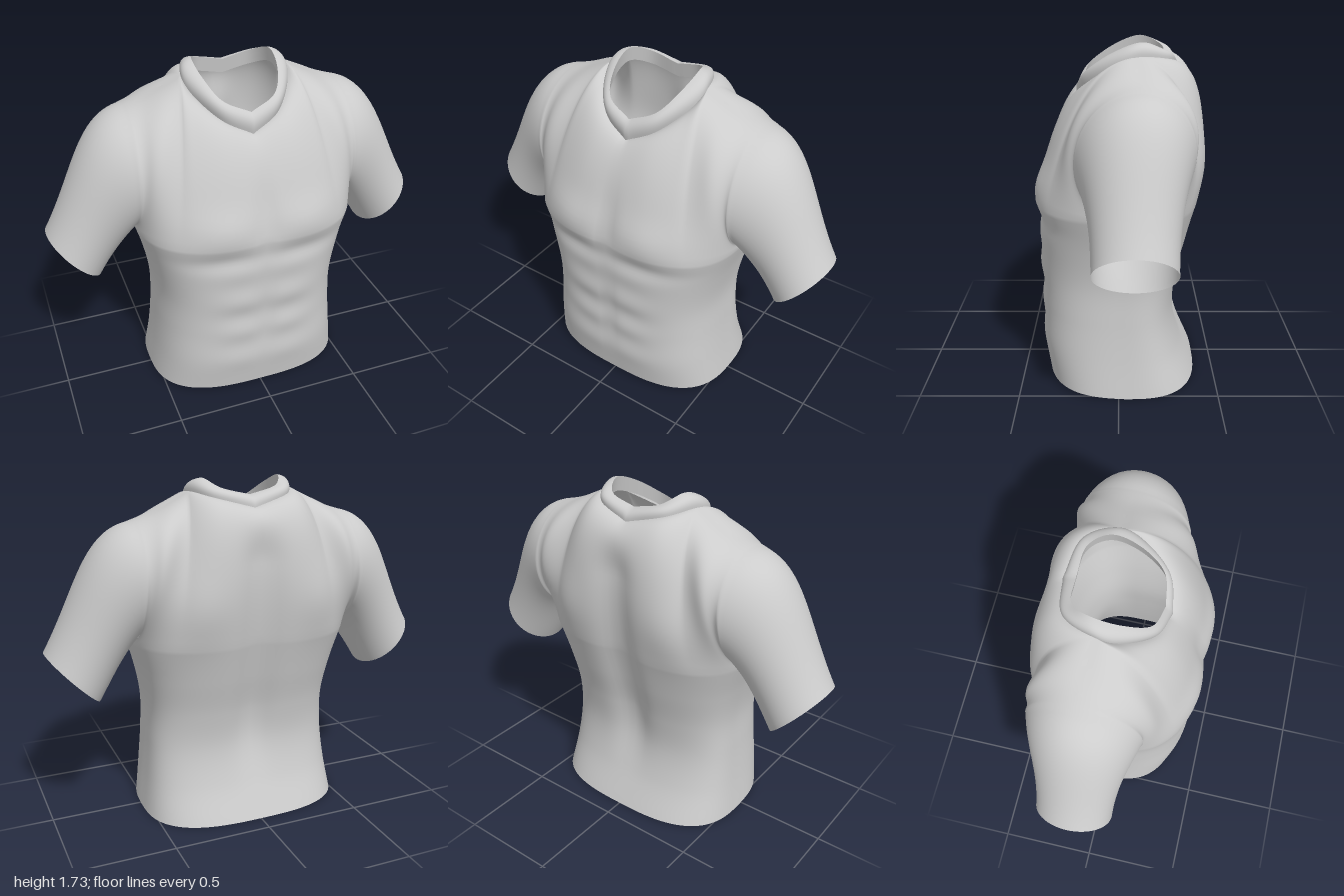
import * as THREE from 'three';
import { mergeGeometries, mergeVertices } from 'three/addons/utils/BufferGeometryUtils.js';
import { ParametricGeometry } from 'three/addons/geometries/ParametricGeometry.js';

const { lerp, smoothstep } = THREE.MathUtils;
const V = (x, y, z) => new THREE.Vector3(x, y, z);
const curve = (pts) => new THREE.CatmullRomCurve3(pts.map((p) => V(...p)), false, 'catmullrom');
const bump = (d, size) => Math.exp(-((d / size) ** 2));

const ARMPIT = 0.95;   // height where the sleeves leave the torso
const NECK = 0.45;     // share of each upper panel that ends at the neckline
const COLS = 40, ROWS = 24;

// Torso rows at even heights from hem to armpit: front z, half width, back z
const torsoRows = curve([
  [0.37, 0.53, -0.405], [0.4, 0.505, -0.325], [0.4, 0.488, -0.287],
  [0.405, 0.483, -0.305], [0.41, 0.515, -0.35], [0.415, 0.57, -0.395],
]);
// Half loops from front centre to back centre
const neckline = curve([
  [0, 1.44, 0.21], [0.14, 1.51, 0.165], [0.24, 1.6, 0.04],
  [0.265, 1.665, -0.08], [0.19, 1.65, -0.245], [0, 1.6, -0.295],
]);
const collarRim = curve([
  [0, 1.54, 0.18], [0.13, 1.6, 0.145], [0.19, 1.68, 0.03],
  [0.2, 1.73, -0.11], [0.14, 1.69, -0.215], [0, 1.655, -0.23],
]);
const shoulderRidge = curve([
  [0.265, 1.665, -0.08], [0.36, 1.618, -0.09], [0.46, 1.572, -0.1], [0.56, 1.54, -0.1],
]);

// Soft muscle relief, as an offset in z
function relief(x, y, back) {
  if (back) {
    const spine = 0.05 * bump(x, 0.1) * smoothstep(y, 0.1, 0.6) * (1 - smoothstep(y, 1.35, 1.58));
    return spine - 0.025 * bump(x - 0.32, 0.15) * bump(y - 1.15, 0.17);
  }
  const chest = 0.025 * bump(x - 0.22, 0.17) * bump(y - 1.03, 0.1);
  const underChest = -0.016 * bump(y - 0.86, 0.05) * bump(x - 0.2, 0.22);
  const sternum = -0.018 * bump(x, 0.05) * bump(y - 1.08, 0.18);
  const belly = bump(y - 0.5, 0.27);
  const abs = belly * (0.007 * Math.cos(y * 31) * bump(x - 0.12, 0.13) - 0.01 * bump(x, 0.04));
  return chest + underChest + sternum + abs;
}

// Torso surface below the armpits: u from centre to side, v from hem to armpit
function lowerPoint(u, v, back) {
  const row = torsoRows.getPoint(v);
  const a = u * Math.PI / 2, zc = -0.03;
  const c = Math.max(0, Math.cos(a)) ** 0.7;
  const hem = back ? 0.005 : 0.005 + 0.02 * c;
  return V(row.y * Math.sin(a) ** 0.7, lerp(hem, ARMPIT, v), zc + ((back ? row.z : row.x) - zc) * c);
}

// Chest and upper back: u from centre to armhole, s from armpit to neckline or shoulder
function upperPoint(u, s, back) {
  const base = lowerPoint(u, 1, back);
  const q = Math.min(u / NECK, 1) * 0.6;
  const top = u <= NECK
    ? neckline.getPoint(back ? 1 - q * 2 / 3 : q)
    : shoulderRidge.getPoint((u - NECK) / (1 - NECK));
  const a = s * Math.PI / 2, edge = u ** 8;
  const rise = lerp(Math.sin(a), (1 - Math.cos(2 * a)) / 2, u ** 6);
  const inward = lerp(1 - Math.cos(a), Math.sin(a), back ? 0 : 0.4 * (1 - u));
  const side = smoothstep(u, 0.4, 0.8);
  const bulge = back ? -0.05 - 0.12 * side - 0.13 * edge : 0.09 * side + 0.16 * edge;
  return V(lerp(base.x, top.x, s), lerp(base.y, top.y, rise),
    lerp(base.z, top.z, inward) + bulge * Math.sin(2 * a));
}

function withRelief(p, u, back) {
  p.z += relief(p.x, p.y, back) * (1 - u ** 8);
  return p;
}

// Sleeve: t from armhole to cuff, r around from the armpit over the front
function sleevePoint(t, r) {
  const back = r > 0.5;
  const start = upperPoint(1, back ? 2 - 2 * r : 2 * r, back);
  const a = r * Math.PI * 2;
  const up = -0.18 * Math.cos(a), k = (1 - Math.cos(a)) / 2;
  const end = V(0.87 + 0.7 * up, 0.802 + 0.714 * up, -0.072 + 0.193 * Math.sin(a));
  const h1 = V(start.x + lerp(0.06, 0.22, k), start.y - lerp(0.09, 0.04, k), lerp(start.z, -0.07, 0.15));
  const h2 = V(end.x - lerp(0.06, 0.175, k), end.y + lerp(0.1, 0.3, k), end.z);
  return new THREE.CubicBezierCurve3(start, h1, h2, end).getPoint(t);
}

// Collar band: swells outward between the neckline and the rim
function collarPoint(u, v) {
  const low = neckline.getPoint(u), rim = collarRim.getPoint(u);
  const out = V(low.x, 0, low.z + 0.05).normalize().multiplyScalar(0.035);
  const mid = low.clone().lerp(rim, 0.5).add(out);
  mid.y += 0.025;
  return new THREE.QuadraticBezierCurve3(low, mid, rim).getPoint(v);
}

function liningPoint(u, v) {
  const p = collarRim.getPoint(u);
  return V(p.x * (1 + 0.06 * v), p.y - 0.075 * v, p.z + (p.z + 0.05) * 0.06 * v);
}

const flip = (g) => { g.index.array.reverse(); return g; };

function patch(fn, cols, rows, flipped = false) {
  const g = new ParametricGeometry((u, v, target) => target.copy(fn(u, v)), cols, rows);
  g.deleteAttribute('normal');
  g.deleteAttribute('uv');
  return flipped ? flip(g) : g;
}

// Mirror the half patches, weld everything and smooth the normals
function mirrored(patches) {
  const other = patches.map((g) => flip(g.clone().scale(-1, 1, 1)));
  const g = mergeVertices(mergeGeometries([...patches, ...other]), 1e-4);
  g.computeVertexNormals();
  return g;
}

export function createModel() {
  const model = new THREE.Group();
  model.name = 'shirt';
  const fabric = new THREE.MeshStandardMaterial({ color: 0xcccccc, side: THREE.DoubleSide });
  fabric.name = 'grey fabric';

  const body = [];
  for (const back of [false, true]) {
    body.push(patch((u, v) => withRelief(lowerPoint(u, v, back), u, back), COLS, 48, back));
    body.push(patch((u, v) => withRelief(upperPoint(u, v, back), u, back), COLS, ROWS, back));
  }
  body.push(patch(sleevePoint, 24, ROWS * 2));

  const parts = {
    bodyAndSleeves: body,
    collar: [patch(collarPoint, 40, 8)],
    collarLining: [patch(liningPoint, 40, 3)],
  };
  for (const [name, patches] of Object.entries(parts)) {
    const mesh = new THREE.Mesh(mirrored(patches), fabric);
    mesh.name = name;
    model.add(mesh);
  }
  return model;
}
